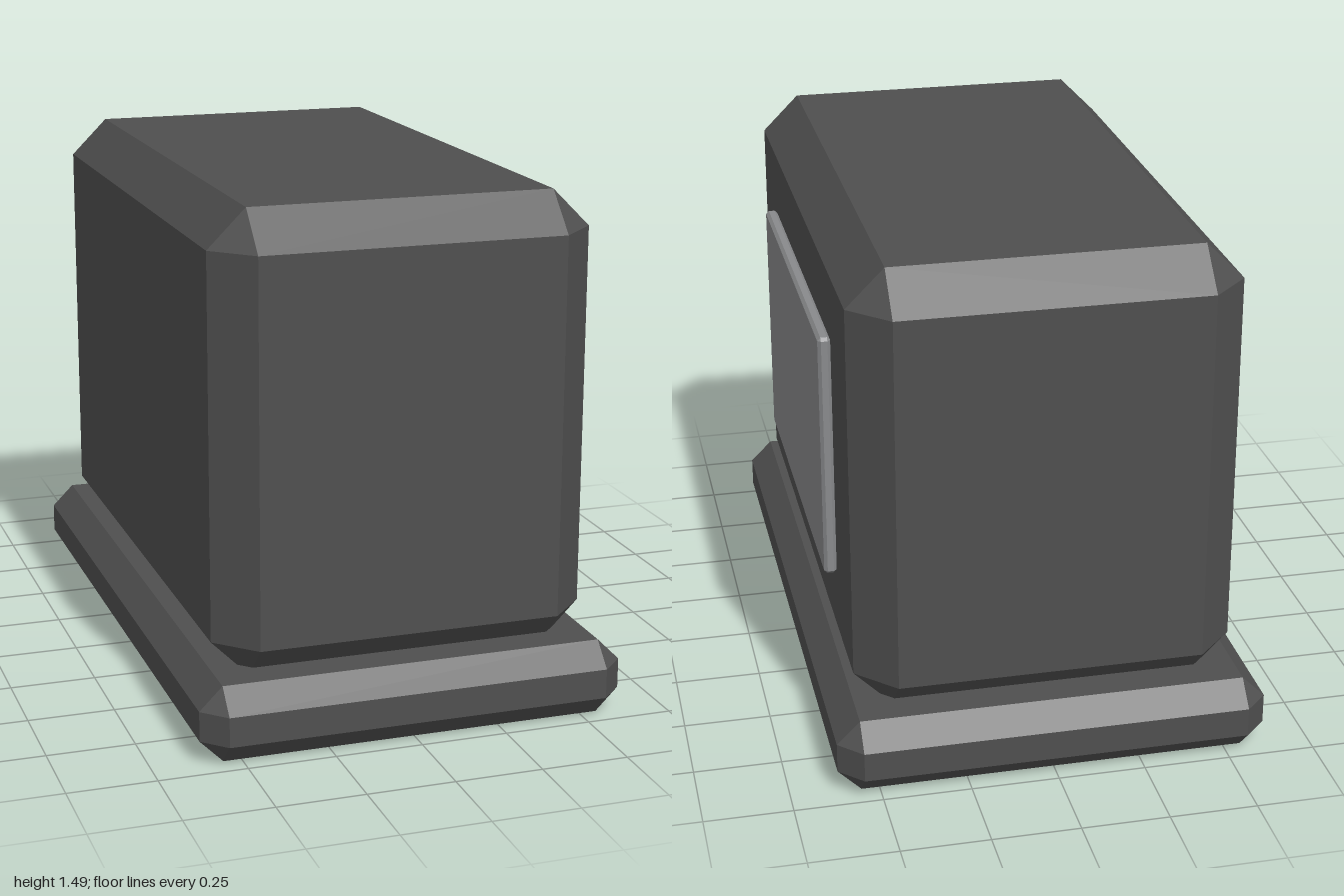
import * as THREE from 'three';
import { ConvexGeometry } from 'three/addons/geometries/ConvexGeometry.js';

// Box with 45 degree chamfers on every edge, as the hull of its 24 corners
function chamferBox(w, h, d, bevel) {
  const half = [w / 2, h / 2, d / 2];
  const points = [];
  for (const sx of [-1, 1]) for (const sy of [-1, 1]) for (const sz of [-1, 1]) {
    for (let axis = 0; axis < 3; axis++) {
      const c = half.map((v, i) => (i === axis ? v : v - bevel));
      points.push(new THREE.Vector3(sx * c[0], sy * c[1], sz * c[2]));
    }
  }
  return new ConvexGeometry(points);
}

export function createModel() {
  const group = new THREE.Group();
  const casing = new THREE.MeshStandardMaterial({ name: 'dark grey casing', color: 0x4f4f4f });
  const panel = new THREE.MeshStandardMaterial({ name: 'light grey panel', color: 0x898a8c });
  casing.flatShading = panel.flatShading = true;

  function addPart(name, [w, h, d], bevel, [x, y, z], material) {
    const mesh = new THREE.Mesh(chamferBox(w, h, d, bevel), material);
    mesh.name = name;
    mesh.position.set(x, y, z);
    group.add(mesh);
  }

  // Wide plinth, tall body sunk slightly into it, and a panel on the left side
  addPart('base', [1.234, 0.218, 2], 0.066, [0, 0.109, 0], casing);
  addPart('body', [1.09, 1.308, 1.816], 0.109, [0, 0.837, 0], casing);
  addPart('sidePanel', [0.036, 0.726, 1.088], 0.009, [0.563, 0.837, 0], panel);

  return group;
}
